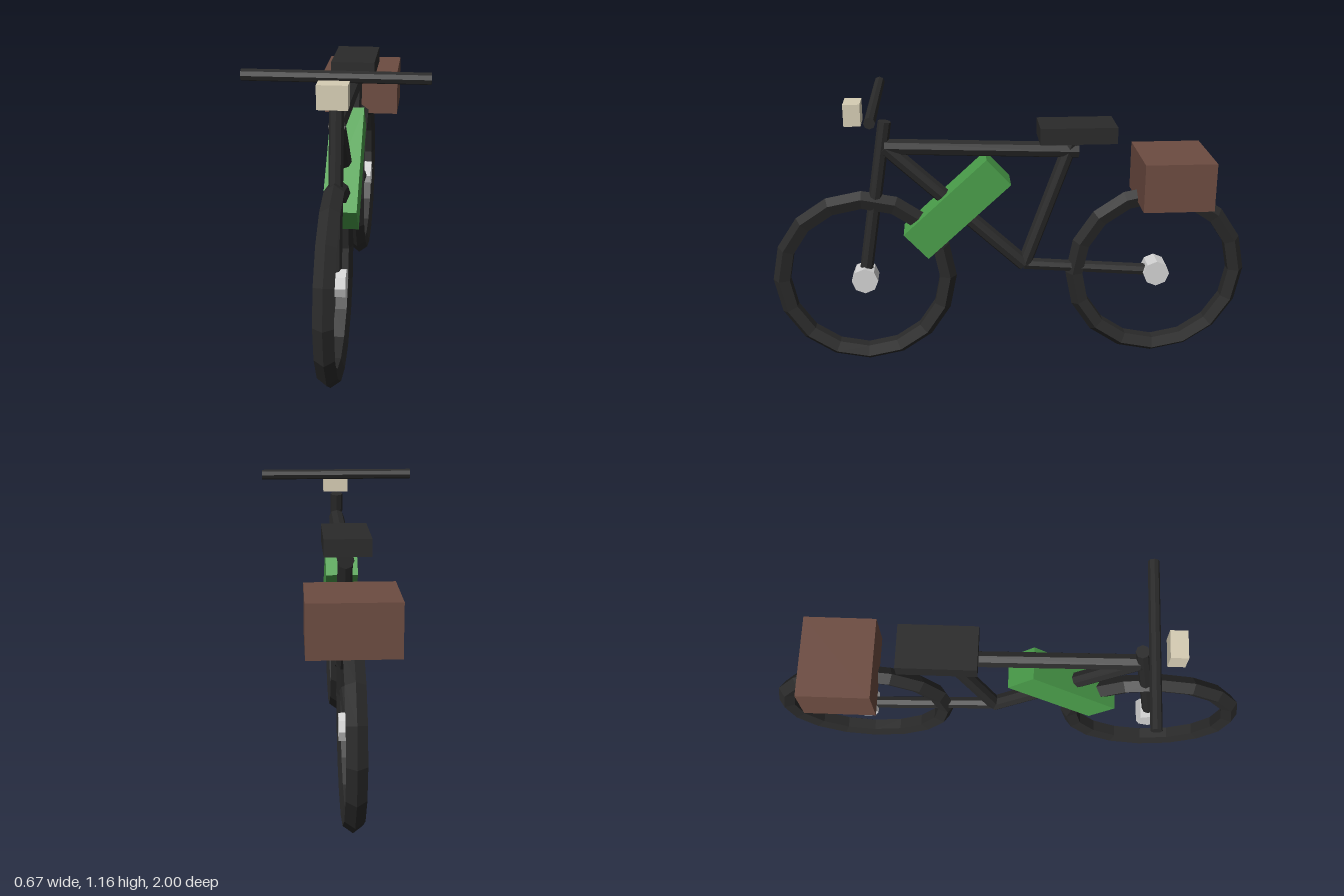
import * as THREE from 'three';

const material = (name, color) => {
  const m = new THREE.MeshStandardMaterial({ color, flatShading: true });
  m.name = name;
  return m;
};

export function createModel() {
  const bike = new THREE.Group();
  bike.name = 'bicycle';
  const black = material('black', 0x2a2a2a);
  const silver = material('silver', 0xd2d2d2);
  const green = material('green', 0x4a9e4a);
  const brown = material('brown', 0x6d4c41);
  const cream = material('cream', 0xd6cdb4);

  const add = (name, geometry, mat, x, y, z) => {
    const mesh = new THREE.Mesh(geometry, mat);
    mesh.name = name;
    mesh.position.set(x, y, z);
    bike.add(mesh);
    return mesh;
  };
  const box = (name, mat, w, h, d, y, z) =>
    add(name, new THREE.BoxGeometry(w, h, d), mat, 0, y, z);

  // Eight-sided tube between two [y, z] points on the centre plane
  const tube = (name, a, b, radius) => {
    const from = new THREE.Vector3(0, ...a);
    const to = new THREE.Vector3(0, ...b);
    const dir = to.clone().sub(from);
    const mid = from.clone().add(to).multiplyScalar(0.5);
    const mesh = add(name, new THREE.CylinderGeometry(radius, radius, dir.length(), 8), black, 0, mid.y, mid.z);
    mesh.quaternion.setFromUnitVectors(new THREE.Vector3(0, 1, 0), dir.normalize());
  };

  // Wheels and hubs
  const axleY = 0.39, axleZ = 0.615;
  for (const [side, z] of [['front', axleZ], ['rear', -axleZ]]) {
    add(side + 'Tyre', new THREE.TorusGeometry(0.345, 0.039, 5, 16), black, 0, axleY, z).rotation.y = Math.PI / 2;
    add(side + 'Hub', new THREE.CylinderGeometry(0.055, 0.055, 0.09, 8), silver, 0, axleY, z).rotation.z = Math.PI / 2;
  }

  // Frame
  const head = [0.96, 0.51], crank = [0.435, -0.055];
  tube('fork', [axleY, axleZ], [1.065, 0.506], 0.027);
  tube('topTube', head, [0.932, -0.275], 0.033);
  tube('downTube', head, crank, 0.033);
  tube('seatTube', crank, [0.965, -0.245], 0.03);
  tube('chainStay', crank, [axleY, -axleZ], 0.026);

  // Handlebar, headlight and saddle
  add('handlebar', new THREE.CylinderGeometry(0.022, 0.022, 0.67, 8), black, 0, 1.148, 0.54).rotation.z = Math.PI / 2;
  box('headlight', cream, 0.11, 0.088, 0.067, 1.104, 0.63);
  box('saddle', black, 0.18, 0.067, 0.31, 1.013, -0.265);

  // Battery on the down tube and rear luggage box
  box('battery', green, 0.132, 0.146, 0.465, 0.704, 0.225).rotation.x = 0.744;
  box('luggageBox', brown, 0.334, 0.2, 0.289, 0.812, -0.667);

  return bike;
}
